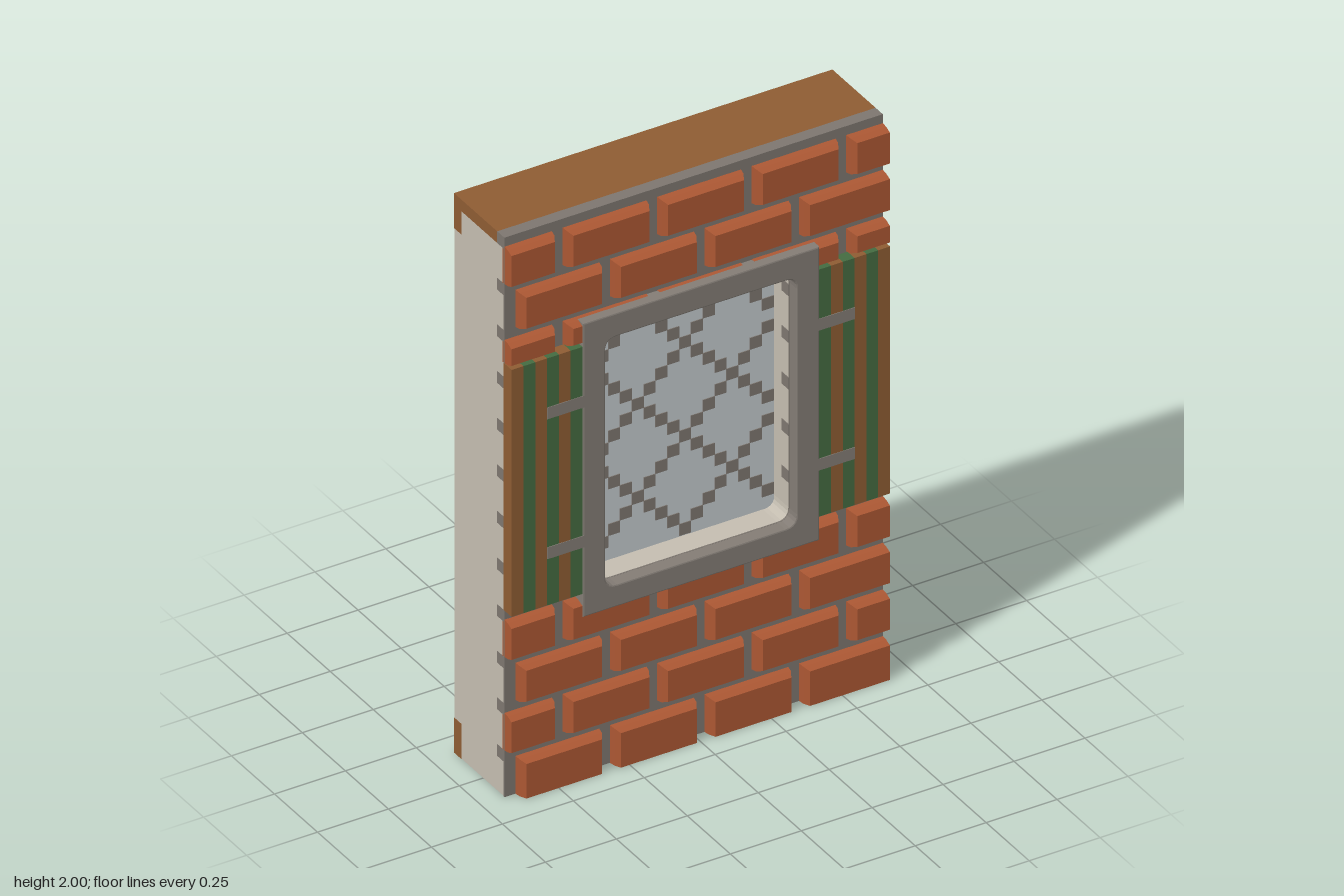
import * as THREE from 'three';
import { mergeGeometries } from 'three/addons/utils/BufferGeometryUtils.js';

const mat = (name, color) => Object.assign(new THREE.MeshStandardMaterial({ color }), { name });

// Box given by its minimum and maximum on each axis
function span(x0, x1, y0, y1, z0, z1) {
  return new THREE.BoxGeometry(x1 - x0, y1 - y0, z1 - z0)
    .translate((x0 + x1) / 2, (y0 + y1) / 2, (z0 + z1) / 2);
}

// Rounded window outline
function opening() {
  const x = 0.337, b = 0.662, t = 1.549, r = 0.04;
  const p = new THREE.Path();
  p.moveTo(-x + r, b);
  p.lineTo(x - r, b).quadraticCurveTo(x, b, x, b + r);
  p.lineTo(x, t - r).quadraticCurveTo(x, t, x - r, t);
  p.lineTo(-x + r, t).quadraticCurveTo(-x, t, -x, t - r);
  p.lineTo(-x, b + r).quadraticCurveTo(-x, b, -x + r, b);
  return p;
}

// Rectangular slab with the window cut out
function slab(w, y0, y1, z0, z1, bevel = 0) {
  const s = new THREE.Shape();
  s.moveTo(-w, y0).lineTo(w, y0).lineTo(w, y1).lineTo(-w, y1).closePath();
  s.holes.push(opening());
  return new THREE.ExtrudeGeometry(s, {
    depth: z1 - z0 - 2 * bevel, curveSegments: 5, bevelEnabled: bevel > 0,
    bevelSize: bevel, bevelThickness: bevel, bevelOffset: -bevel, bevelSegments: 2,
  }).translate(0, 0, z0 + bevel);
}

// Brick tapering towards its front, flush where it meets the wall's edges
function brick(x0, x1, y0, y1) {
  const g = new THREE.BoxGeometry(1, 1, 1, 1, 1, 2).toNonIndexed();
  const p = g.attributes.position;
  for (let i = 0; i < p.count; i++) {
    const layer = Math.round(p.getZ(i) * 2) + 1;
    const inset = [0, 0.005, 0.016][layer];
    const left = p.getX(i) < 0, low = p.getY(i) < 0;
    const x = left ? x0 : x1, y = low ? y0 : y1;
    p.setXYZ(i,
      Math.abs(x) > 0.66 ? x : x + (left ? inset : -inset),
      y === 0 ? y : y + (low ? inset : -inset) * 0.8,
      [0.115, 0.145, 0.166][layer]);
  }
  g.computeVertexNormals();
  return g;
}

export function createModel() {
  const model = new THREE.Group();
  model.name = 'windowWall';
  const plaster = mat('plaster', 0xc4bdb0);
  const mortar = mat('mortar', 0x7d766f);
  const stone = mat('stone', 0x837c75);
  const wood = mat('wood', 0x8e5c33);
  const clay = mat('brick', 0xab5733);
  const green = mat('greenPaint', 0x446b40);
  const pane = mat('glass', 0xc1c8cc);
  const add = (name, geo, material) => {
    const m = new THREE.Mesh(Array.isArray(geo) ? mergeGeometries(geo) : geo, material);
    m.name = name;
    model.add(m);
  };
  const U = 1 / 24, W = 0.667;

  // Wall core and mortar face
  add('wallCore', slab(W - 0.001, 0.001, 1.999, -0.166, 0.12), plaster);
  add('mortarFace', slab(W, 0, 2, 0.12, 0.125), mortar);

  // Mortar joints showing on the wall ends and inside the window
  const joints = [];
  for (let k = 0; k < 12; k++) {
    const y = k / 6 + 0.125;
    joints.push(span(0.335, W, y, y + U, 0.083, 0.124), span(-W, -0.335, y, y + U, 0.083, 0.124));
  }
  joints.push(span(-0.335, 0.335, 2 - U, 2, 0.083, 0.124));
  add('mortarJoints', joints, mortar);

  // Wooden beams along the top and the back's foot
  add('topBeam', span(-W, W, 2 - U, 2, -0.167, 0.083), wood);
  add('backTopTrim', span(-W, W, 1.875, 2, -0.168, -0.125), wood);
  add('backFootTrim', span(-W, W, 0, 0.125, -0.168, -0.125), wood);

  // Brick courses, alternate rows shifted by half a brick
  const bricks = [];
  for (const k of [0, 1, 2, 3, 9, 10, 11]) {
    const start = k % 2 ? -0.797 : -0.63;
    for (let i = 0; i < 5; i++) {
      const x0 = Math.max(-W, start + i / 3), x1 = Math.min(W, start + i / 3 + 0.299);
      if (x1 - x0 < 0.05) continue;
      const y = k / 6;
      bricks.push(brick(x0, x1, k === 9 ? 1.535 + 0.016 : y, y + 0.136));
    }
  }
  add('bricks', bricks, clay);

  // Stone window surround
  add('windowFrame', slab(0.417, 0.583, 1.633, 0.121, 0.169, 0.005), stone);

  // Striped shutters with hinge straps
  const boards = { wood: [], green: [] }, straps = [];
  for (const s of [1, -1]) {
    const strip = (a, b, y0, y1, z1) => span(Math.min(s * a, s * b), Math.max(s * a, s * b), y0, y1, 0.12, z1);
    for (let i = 0; i < 6; i++) {
      const a = 0.417 + i * U;
      boards[i % 2 ? 'wood' : 'green'].push(strip(a, Math.min(a + U, W), 0.667, 1.55, 0.167));
    }
    for (const y of [0.833, 1.333]) straps.push(strip(0.41, 0.542, y, y + U, 0.169));
  }
  add('shutterBoards', boards.wood, wood);
  add('shutterPaintedBoards', boards.green, green);
  add('shutterHinges', straps, stone);

  // Glass with a diagonal lattice of lead squares
  add('glass', span(-0.336, 0.336, 0.663, 1.548, 0.003, 0.039), pane);
  const lead = [];
  for (let r = 0; r < 21; r++) {
    for (let c = 0; c < 16; c++) {
      if ((c + r) % 8 && (c - r) % 8) continue;
      const x = -0.3333 + c * U, y = 0.667 + r * U;
      lead.push(span(x, x + U, y, y + U, 0, 0.042));
    }
  }
  add('leadLattice', lead, mortar);

  // Inner window sill
  add('windowSill', span(-0.337, 0.337, 0.625, 0.667, -0.169, 0), wood);
  return model;
}
